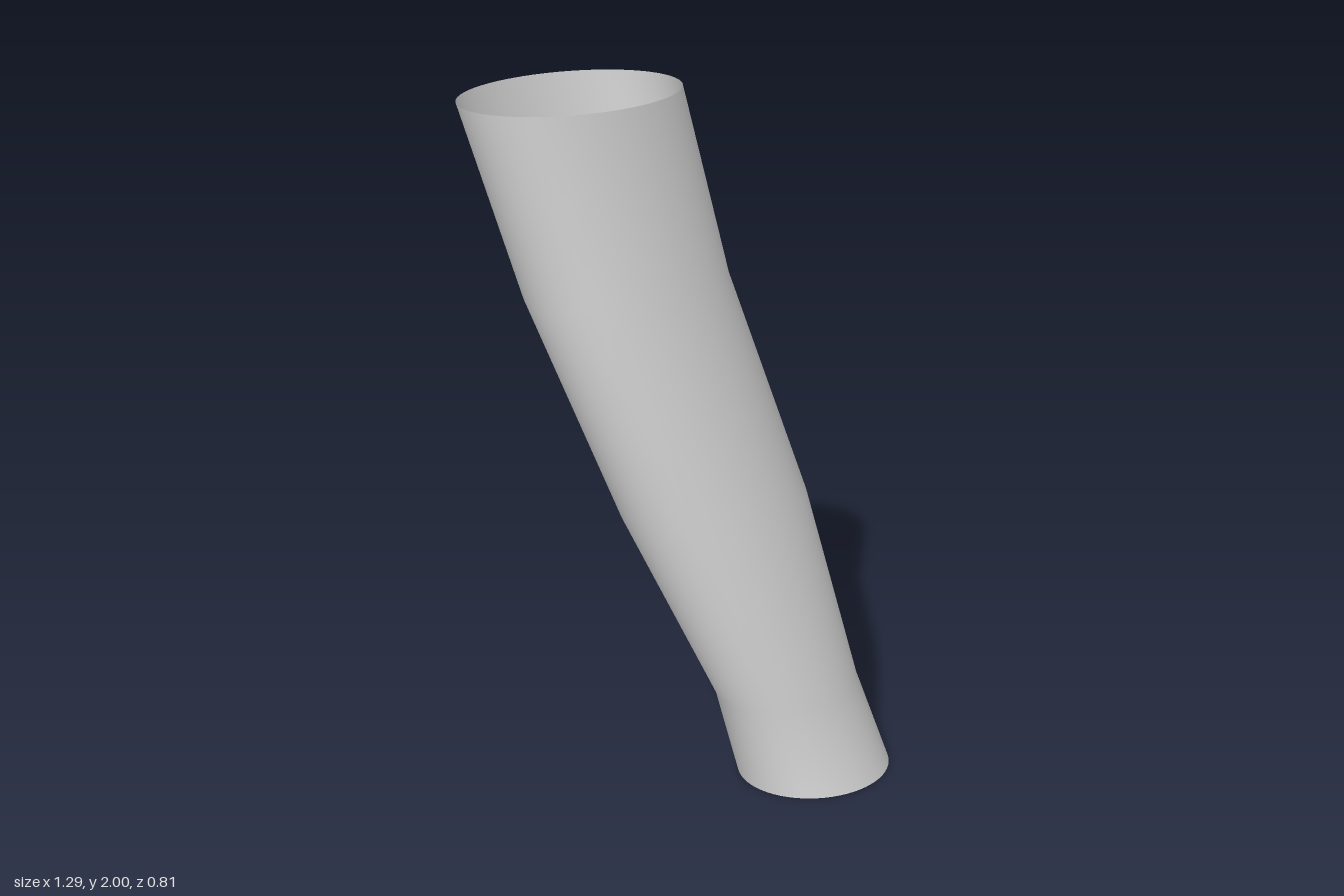
import * as THREE from 'three';

// Level cross-sections from the narrow end up: y, xMin, xMax, zMin, zMax
const RINGS = [
  [0, 0.2, 0.645, -0.395, 0.105],
  [0.25, 0.125, 0.52, -0.39, 0.113],
  [0.805, -0.148, 0.347, -0.405, 0.265],
  [1.44, -0.45, 0.07, -0.4, 0.345],
  [2, -0.65, -0.08, -0.385, 0.405],
];
const SIDES = 64;

// Open-ended skin of elliptical rings, joined without a seam for smooth normals
function loftEllipses(rings, sides) {
  const positions = [];
  const indices = [];
  rings.forEach(([y, x0, x1, z0, z1], r) => {
    for (let i = 0; i < sides; i++) {
      const a = (i / sides) * Math.PI * 2;
      positions.push(
        (x0 + x1) / 2 + ((x1 - x0) / 2) * Math.sin(a),
        y,
        (z0 + z1) / 2 + ((z1 - z0) / 2) * Math.cos(a),
      );
      if (r === 0) continue;
      const next = (i + 1) % sides;
      const low = (r - 1) * sides;
      const high = r * sides;
      indices.push(low + i, low + next, high + next, low + i, high + next, high + i);
    }
  });
  const geometry = new THREE.BufferGeometry();
  geometry.setAttribute('position', new THREE.Float32BufferAttribute(positions, 3));
  geometry.setIndex(indices);
  geometry.computeVertexNormals();
  return geometry;
}

export function createModel() {
  const group = new THREE.Group();
  group.name = 'sleeve';

  const grey = new THREE.MeshStandardMaterial({ color: 0xcccccc, side: THREE.DoubleSide });
  grey.name = 'light grey';

  const tube = new THREE.Mesh(loftEllipses(RINGS, SIDES), grey);
  tube.name = 'sleeveTube';
  group.add(tube);
  return group;
}
